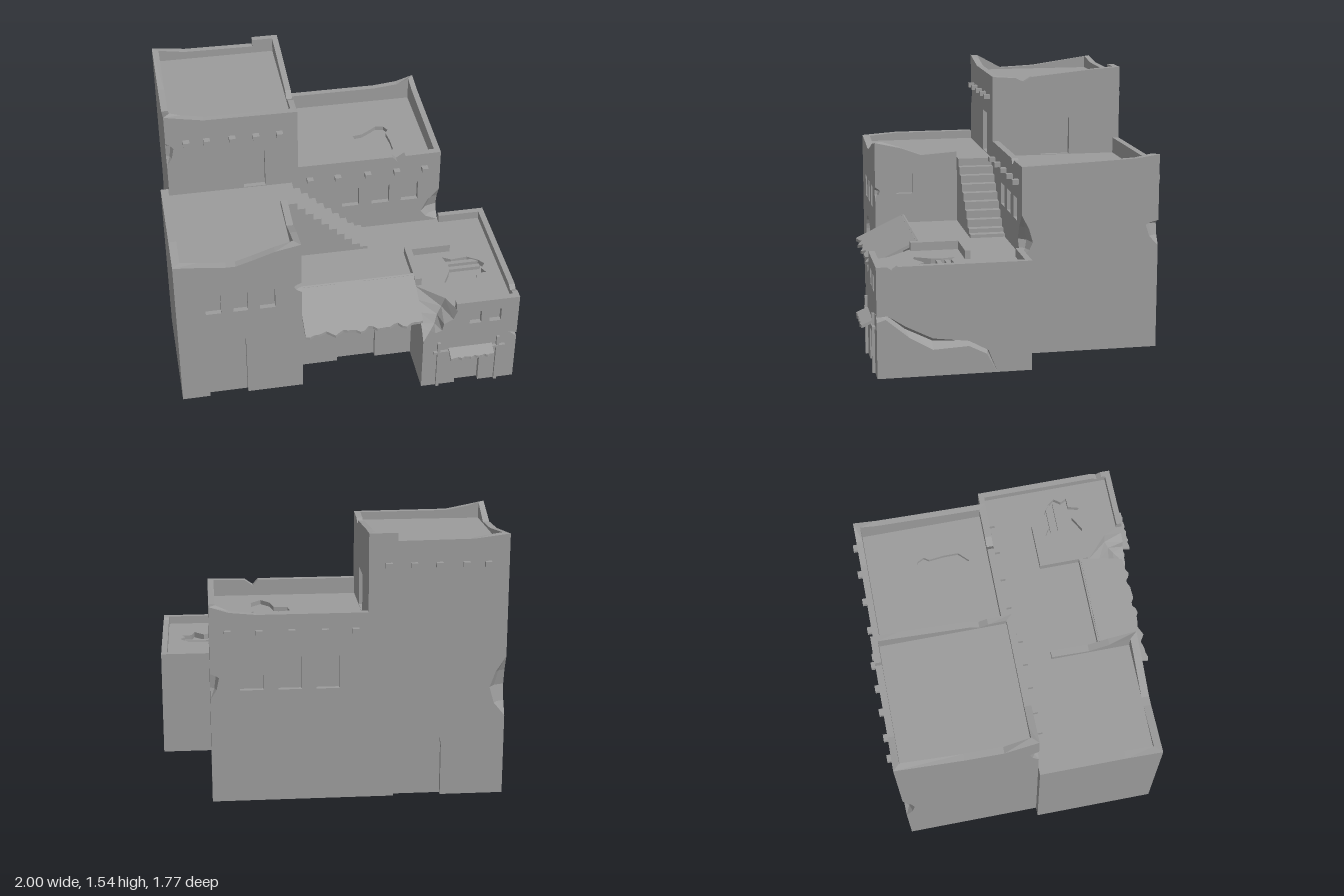
import * as THREE from 'three';
import { mergeGeometries } from 'three/addons/utils/BufferGeometryUtils.js';

const material = new THREE.MeshStandardMaterial({ color: 0x9c9c9c, flatShading: true, side: THREE.DoubleSide });
const V = (x, y, z) => new THREE.Vector3(x, y, z);
const { clamp, lerp } = THREE.MathUtils;

// Plane axes per face: u axis, v axis, outward axis
const AXES = {
  front: [V(1, 0, 0), V(0, 1, 0), V(0, 0, 1)],
  back: [V(1, 0, 0), V(0, 1, 0), V(0, 0, -1)],
  right: [V(0, 0, 1), V(0, 1, 0), V(1, 0, 0)],
  left: [V(0, 0, 1), V(0, 1, 0), V(-1, 0, 0)],
  top: [V(1, 0, 0), V(0, 0, 1), V(0, 1, 0)],
};

// Moves a flat-built geometry onto a face at coordinate c, keeping the winding outward
function place(geo, face, c) {
  const [u, v, n] = AXES[face];
  const g = geo.index ? geo.toNonIndexed() : geo;
  g.deleteAttribute('uv');
  const m = new THREE.Matrix4().makeBasis(u, v, n);
  m.setPosition(V(Math.abs(n.x), Math.abs(n.y), Math.abs(n.z)).multiplyScalar(c));
  g.applyMatrix4(m);
  if (m.determinant() < 0) {
    const p = g.attributes.position;
    for (let i = 0; i < p.count; i += 3) {
      const a = V().fromBufferAttribute(p, i + 1), b = V().fromBufferAttribute(p, i + 2);
      p.setXYZ(i + 1, b.x, b.y, b.z);
      p.setXYZ(i + 2, a.x, a.y, a.z);
    }
  }
  g.computeVertexNormals();
  return g;
}

// Ribbon of quads between two rows of points
function strip(a, b) {
  const pts = [];
  for (let i = 0; i < a.length - 1; i++) pts.push(a[i], a[i + 1], b[i + 1], a[i], b[i + 1], b[i]);
  const g = new THREE.BufferGeometry().setFromPoints(pts);
  g.computeVertexNormals();
  return g;
}

const vec2 = (pts) => pts.map(([x, y]) => new THREE.Vector2(x, y));
const rect = (x0, x1, y0, y1) => [[x0, y0], [x1, y0], [x1, y1], [x0, y1]];

// Doorway with a rounded head
function arch(x0, x1, top) {
  const r = (x1 - x0) / 2, h = r * 0.95, pts = [[x0, 0], [x1, 0]];
  for (let i = 0; i <= 10; i++) {
    const t = (i / 10) * Math.PI;
    pts.push([x0 + r + r * Math.cos(t), top - h + h * Math.sin(t)]);
  }
  return pts;
}

export function createModel() {
  const model = new THREE.Group();
  const add = (name, geo) => {
    const mesh = new THREE.Mesh(geo, material);
    mesh.name = name;
    model.add(mesh);
  };

  // Flat wall or roof with recessed openings; a door at y = 0 notches the bottom edge
  function wall(name, face, c, outline, openings = [], { depth = 0.03, door } = {}) {
    const parts = [], holes = [];
    const recess = (o, edge) => {
      parts.push(place(strip(edge.map(([x, y]) => V(x, y, -depth)), edge.map(([x, y]) => V(x, y, 0))), face, c));
      const back = new THREE.ShapeGeometry(new THREE.Shape(vec2(o)));
      back.translate(0, 0, -depth);
      parts.push(place(back, face, c));
    };
    for (const o of openings) {
      holes.push(new THREE.Path(vec2(o)));
      recess(o, [...o, o[0]]);
    }
    let border = outline;
    if (door) {
      const edge = [door[0], ...door.slice(2).reverse(), door[1]];
      border = [outline[0], ...edge, ...outline.slice(1)];
      recess(door, edge);
    }
    const shape = new THREE.Shape(vec2(border));
    shape.holes = holes;
    parts.push(place(new THREE.ShapeGeometry(shape), face, c));
    add(name, mergeGeometries(parts));
  }

  // Straight low parapet following a top profile
  function parapet(name, face, c, floor, profile, t = 0.04) {
    const shape = new THREE.Shape(vec2([[profile[0][0], floor], ...profile, [profile.at(-1)[0], floor]]));
    const g = new THREE.ExtrudeGeometry(shape, { depth: t, bevelEnabled: false });
    g.translate(0, 0, -t);
    add(name, place(g, face, c));
  }

  // Mitred parapet around a roof: outer points [x, z, top], inner edge clamped to bounds
  function rim(name, floor, [x0, x1, z0, z1], points) {
    const row = (inner, low) => points.map(([x, z, y]) =>
      V(inner ? clamp(x, x0, x1) : x, low ? floor : y, inner ? clamp(z, z0, z1) : z));
    const rows = [row(false, true), row(false, false), row(true, false), row(true, true)];
    const parts = [0, 1, 2].map((i) => strip(rows[i], rows[i + 1]));
    for (const i of [0, points.length - 1]) parts.push(strip([rows[0][i], rows[1][i]], [rows[3][i], rows[2][i]]));
    add(name, mergeGeometries(parts));
  }

  // Broken wall corner: adds the facets, returns the notch for both walls
  function bite(x, z, dx, dz, y0, ym, y1) {
    const steps = [[y0, 0], [lerp(y0, ym, 0.45), 0.7], [ym, 1], [lerp(ym, y1, 0.5), 0.65], [y1, 0]];
    const mid = steps.map(([y, k]) => V(x + dx * k * 0.65, y, z + dz * k * 0.65));
    add('brokenCorner', mergeGeometries([
      strip(steps.map(([y, k]) => V(x + dx * k, y, z)), mid),
      strip(mid, steps.map(([y, k]) => V(x, y, z + dz * k))),
    ]));
    return { x: steps.map(([y, k]) => [x + dx * k, y]), z: steps.map(([y, k]) => [z + dz * k, y]) };
  }

  function box(name, x0, x1, y0, y1, z0, z1) {
    const g = new THREE.BoxGeometry(x1 - x0, y1 - y0, z1 - z0);
    g.translate((x0 + x1) / 2, (y0 + y1) / 2, (z0 + z1) / 2);
    add(name, g);
  }

  // Flat sloping awning with a ragged front edge
  function awning(name, x0, x1, zA, yA, zB, yB, wave) {
    const g = new THREE.BoxGeometry(1, 0.018, 1, 28, 1, 1), p = g.attributes.position;
    for (let i = 0; i < p.count; i++) {
      const s = p.getX(i) + 0.5;
      const t = (p.getZ(i) + 0.5) * (1 + wave * (Math.sin(s * 31) * 0.6 + Math.sin(s * 53 + 1) * 0.4));
      p.setXYZ(i, lerp(x0, x1, s), p.getY(i) + lerp(yA, yB, t), lerp(zA, zB, t));
    }
    add(name, g);
  }

  // Broken corners
  const biteFR = bite(0.71, -0.055, -0.11, -0.065, 0.58, 0.66, 0.82);
  const biteBR = bite(0.71, -0.86, -0.05, 0.075, 0.61, 0.735, 0.76);
  const biteBL = bite(-0.95, -0.86, 0.09, 0.06, 0.47, 0.64, 0.82);
  const biteT = bite(-0.95, -0.055, 0.045, -0.05, 1.2, 1.32, 1.36);
  const biteW = bite(-0.27, 0.67, -0.045, -0.03, 0.74, 0.785, 0.81);

  // Rear building and tower
  wall('rearWall', 'back', -0.86, [[-0.95, 0], [0.71, 0], ...biteBR.x, [0.71, 1], [-0.17, 1], [-0.17, 1.45], [-0.95, 1.45], ...biteBL.x.reverse()],
    [rect(0.415, 0.545, 0.66, 0.85), rect(0.2, 0.33, 0.66, 0.85), rect(-0.01, 0.12, 0.66, 0.85)], { door: arch(-0.59, -0.32, 0.43) });
  wall('upperFrontWall', 'front', -0.055, [[-0.27, 0.58], ...biteFR.x, [0.71, 1], [-0.27, 1]],
    [rect(0.1, 0.205, 0.76, 0.89), rect(0.285, 0.395, 0.76, 0.89), rect(0.47, 0.575, 0.76, 0.89)]);
  wall('rearRightWall', 'right', 0.71, [[-0.86, 0], [-0.055, 0], ...biteFR.z, [-0.055, 1], [-0.86, 1], ...biteBR.z.reverse()]);
  wall('towerLeftWall', 'left', -0.95, [[-0.86, 0], [-0.055, 0], ...biteT.z, [-0.055, 1.45], [-0.86, 1.45], ...biteBL.z.reverse()]);
  wall('towerFrontWall', 'front', -0.055, [[-0.95, 0.98], [-0.17, 0.98], [-0.17, 1.45], [-0.95, 1.45], ...biteT.x.reverse()],
    [rect(-0.5, -0.37, 0.99, 1.245)]);
  wall('towerRightWall', 'right', -0.17, rect(-0.86, -0.055, 1, 1.45), [rect(-0.54, -0.36, 1.003, 1.23)]);
  wall('towerRoof', 'top', 1.45, rect(-0.95, -0.17, -0.86, -0.055));
  wall('rearRoof', 'top', 1, rect(-0.17, 0.71, -0.86, -0.055), [[[0.24, -0.45], [0.25, -0.38], [0.33, -0.37], [0.35, -0.27], [0.4, -0.21],
    [0.46, -0.27], [0.46, -0.36], [0.45, -0.45], [0.47, -0.48], [0.45, -0.52], [0.4, -0.53], [0.36, -0.5], [0.3, -0.46]]], { depth: 0.025 });
  rim('towerParapet', 1.45, [-0.912, -0.205, -0.822, -0.095], [
    [-0.95, -0.055, 1.545], [-0.85, -0.055, 1.525], [-0.72, -0.055, 1.5], [-0.17, -0.055, 1.495],
    [-0.17, -0.2, 1.485], [-0.17, -0.25, 1.46], [-0.17, -0.3, 1.49], [-0.17, -0.7, 1.53], [-0.17, -0.86, 1.54],
    [-0.33, -0.86, 1.54], [-0.33, -0.86, 1.495], [-0.75, -0.86, 1.5], [-0.95, -0.86, 1.525],
    [-0.95, -0.47, 1.47], [-0.95, -0.25, 1.46], [-0.95, -0.055, 1.545]]);
  rim('rearParapet', 1, [-0.17, 0.675, -0.822, -0.095], [
    [-0.17, -0.055, 1.095], [0.41, -0.055, 1.095], [0.44, -0.055, 1.06], [0.49, -0.055, 1.095], [0.71, -0.055, 1.098],
    [0.71, -0.5, 1.115], [0.71, -0.72, 1.125], [0.71, -0.86, 1.145], [0.6, -0.86, 1.11], [0.45, -0.86, 1.095], [-0.17, -0.86, 1.095]]);

  // Left wing
  wall('wingFront', 'front', 0.67, [[-1, 0], [-0.27, 0], ...biteW.x, [-0.27, 0.985], [-1, 0.985]],
    [rect(-0.83, -0.74, 0.65, 0.785), rect(-0.67, -0.585, 0.65, 0.785), rect(-0.515, -0.425, 0.65, 0.785)], { door: arch(-0.835, -0.605, 0.53) });
  wall('wingRight', 'right', -0.27, [[0.5, 0], [0.67, 0], ...biteW.z, [0.67, 0.985], [-0.055, 0.985], [-0.055, 0.58], [0.5, 0.58]],
    [rect(0.435, 0.535, 0.765, 0.89)]);
  wall('wingLeft', 'left', -1, rect(-0.055, 0.67, 0, 0.985));
  wall('wingBack', 'back', -0.055, rect(-1, -0.95, 0, 1.035));
  wall('wingRoof', 'top', 0.985, rect(-1, -0.27, -0.055, 0.67));
  rim('wingParapet', 0.975, [-0.955, -0.31, -0.055, 0.625], [
    [-1, -0.055, 1.035], [-1, 0.45, 1.035], [-1, 0.67, 1.02], [-0.85, 0.67, 1.005], [-0.66, 0.67, 0.98], [-0.55, 0.67, 1.015],
    [-0.42, 0.67, 1.06], [-0.27, 0.67, 1.09], [-0.27, 0.5, 1.05], [-0.27, 0.38, 1.005], [-0.27, 0.155, 1.02]]);

  // Staircase
  for (let i = 0; i < 9; i++) {
    box('stairStep', i ? -0.21 + (i - 1) * 0.0478 : -0.27, -0.21 + i * 0.0478, 0.58, 0.985 - i * 0.045, -0.055, 0.155);
  }
  box('stairStep', 0.17, 0.22, 0.58, 0.6, -0.055, 0.155);

  // Terrace, with the hole over the right annex
  wall('terraceFront', 'front', 0.5, rect(-0.27, 0.43, 0, 0.58), [], { door: arch(-0.03, 0.205, 0.3) });
  parapet('terraceEdge', 'front', 0.51, 0.57, [[-0.27, 0.63], [-0.05, 0.63], [0.04, 0.618], [0.12, 0.63], [0.43, 0.63]], 0.02);
  wall('terraceRoof', 'top', 0.58, [[-0.27, -0.055], [1, -0.055], [1, 0.81], [0.63, 0.81], [0.58, 0.69], [0.43, 0.55], [0.43, 0.5], [-0.27, 0.5]],
    [[[0.65, 0.32], [0.7, 0.35], [0.8, 0.34], [0.86, 0.38], [0.89, 0.42], [0.86, 0.46], [0.88, 0.5], [0.82, 0.5], [0.8, 0.57],
      [0.74, 0.51], [0.65, 0.56], [0.61, 0.55], [0.66, 0.46], [0.67, 0.4]]], { depth: 0.035 });
  for (const z of [0.37, 0.42]) box('exposedBeam', 0.665, 0.86, 0.55, 0.572, z - 0.013, z + 0.013);

  // Right annex with a collapsed corner
  const F = [[0.43, 0.36], [0.5, 0.42], [0.54, 0.435], [0.55, 0.485], [0.605, 0.515], [0.63, 0.58]];
  const L = [[0.81, 0.36], [0.76, 0.42], [0.73, 0.44], [0.69, 0.49], [0.62, 0.53], [0.55, 0.58]];
  const M = [V(0.43, 0.36, 0.81), V(0.48, 0.41, 0.77), V(0.51, 0.435, 0.74), V(0.53, 0.48, 0.71), V(0.56, 0.52, 0.69), V(0.58, 0.58, 0.69)];
  add('collapsedCorner', strip(F.map(([x, y]) => V(x, y, 0.81)), M));
  add('collapsedCorner', strip(M, L.map(([z, y]) => V(0.43, y, z))));
  wall('annexFront', 'front', 0.81, [[0.43, 0], [1, 0], [1, 0.32], [0.95, 0.365], [1, 0.35], [1, 0.58], ...[...F].reverse()],
    [rect(0.705, 0.775, 0.465, 0.555), rect(0.825, 0.895, 0.465, 0.555)], { door: rect(0.635, 0.78, 0, 0.19) });
  wall('annexLeft', 'left', 0.43, [[0.5, 0], [0.81, 0], ...L, [0.5, 0.58]]);
  wall('annexBack', 'back', -0.055, rect(0.71, 1, 0, 0.58));

  // Annex right wall, split by a long crack
  const up = [[0.81, 0.35], [0.75, 0.355], [0.65, 0.29], [0.5, 0.215], [0.3, 0.19], [0.19, 0.13], [0.14, 0]];
  const low = [[0.81, 0.32], [0.76, 0.335], [0.63, 0.225], [0.5, 0.15], [0.3, 0.16], [0.2, 0.11], [0.14, 0]];
  wall('annexRightUpper', 'right', 1, [...up, [-0.055, 0], [-0.055, 0.58], [0.81, 0.58]]);
  wall('annexRightLower', 'right', 1, [...low, [0.81, 0]]);
  const inner = up.map(([z, y], i) => V(i < 6 ? 0.95 : 1, i ? lerp(y, low[i][1], 0.4) : 0.365, z));
  add('wallCrack', strip(up.map(([z, y]) => V(1, y, z)), inner));
  add('wallCrack', strip(inner, low.map(([z, y]) => V(1, y, z))));

  // Annex parapets
  rim('annexParapet', 0.58, [0.47, 0.965, -0.02, 0.775], [[0.71, -0.055, 0.63], [1, -0.055, 0.63], [1, 0.69, 0.63], [1, 0.72, 0.61],
    [1, 0.75, 0.63], [1, 0.81, 0.63], [0.62, 0.81, 0.63]]);
  parapet('annexParapet', 'left', 0.43, 0.58, [[0.24, 0.63], [0.55, 0.63]]);
  parapet('annexParapet', 'front', 0.272, 0.58, [[0.43, 0.63], [0.71, 0.63]], 0.032);

  // Protruding roof beams
  const beam = (x, y, z0, z1) => box('roofBeam', x - 0.019, x + 0.019, y - 0.014, y + 0.014, z0, z1);
  for (const [z0, z1] of [[-0.055, -0.017], [-0.888, -0.86]]) {
    for (const x of [-0.83, -0.71, -0.56, -0.42, -0.28]) beam(x, 1.36, z0, z1);
    for (const x of [-0.1, 0.07, 0.255, 0.435, 0.61]) beam(x, 0.995, z0, z1);
  }
  for (const x of [-0.16, -0.035, 0.085, 0.225, 0.35]) beam(x, 0.38, 0.47, 0.535);

  // Awnings and the post frame at the annex door
  awning('terraceAwning', -0.27, 0.43, 0.5, 0.625, 0.785, 0.49, 0.06);
  awning('doorAwning', 0.585, 0.85, 0.815, 0.285, 0.88, 0.258, 0.08);
  for (const x of [0.525, 0.885]) box('framePost', x - 0.009, x + 0.009, 0, 0.345, 0.8, 0.826);
  box('frameBar', 0.495, 0.93, 0.262, 0.278, 0.8, 0.828);
  return model;
}
